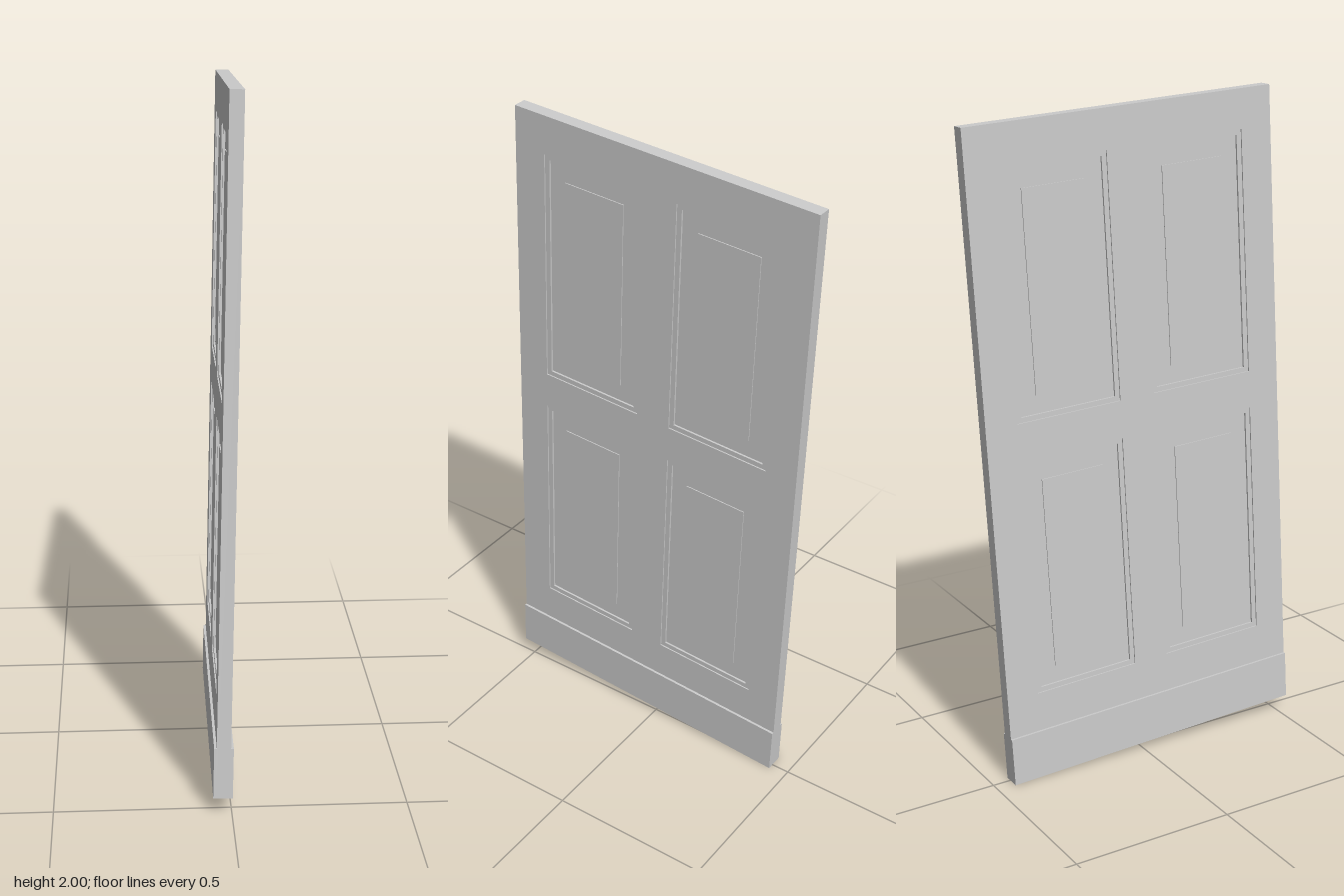
import * as THREE from 'three';

const material = new THREE.MeshStandardMaterial({ color: 0xcccccc, flatShading: true });

// Adds a rectangle to a shape or hole path
function rect(path, x, y, w, h) {
  path.moveTo(x - w / 2, y - h / 2);
  path.lineTo(x + w / 2, y - h / 2);
  path.lineTo(x + w / 2, y + h / 2);
  path.lineTo(x - w / 2, y + h / 2);
  path.closePath();
  return path;
}

// Plate centred on z = 0 with rectangular openings [x, y, w, h]
function plate(name, outline, openings, thickness) {
  const shape = rect(new THREE.Shape(), ...outline);
  for (const o of openings) shape.holes.push(rect(new THREE.Path(), ...o));
  const geometry = new THREE.ExtrudeGeometry(shape, { depth: thickness, bevelEnabled: false });
  geometry.translate(0, 0, -thickness / 2);
  const mesh = new THREE.Mesh(geometry, material);
  mesh.name = name;
  return mesh;
}

export function createModel() {
  const W = 0.978, H = 1.956;
  const door = new THREE.Group();
  door.name = 'door';

  // Stiles and rails around four openings
  const openings = [];
  for (const y of [0.498, -0.343]) {
    for (const side of [1, -1]) openings.push([side * 0.2225, y, 0.333, 0.727]);
  }
  door.add(plate('doorFrame', [0, 0, W, H], openings, 0.04));

  // Each opening: moulding, recessed panel and raised field, alike on both faces
  const bead = 0.015;
  for (const [x, y, w, h] of openings) {
    const panel = new THREE.Group();
    panel.name = 'panel';
    const inner = [x, y, w - 2 * bead, h - 2 * bead];
    panel.add(plate('moulding', [x, y, w, h], [inner], 0.032));
    panel.add(plate('panelBoard', inner, [], 0.02));
    panel.add(plate('raisedField', [x, y, w - 0.134, h - 0.138], [], 0.026));
    door.add(panel);
  }

  // Thicker kick board along the bottom
  door.add(plate('kickBoard', [0, -H / 2 + 0.075, W, 0.15], [], 0.055));

  // The whole leaf leans slightly and stands across the x axis
  const across = new THREE.Vector3(-0.016, 0.045, 0.975).normalize();
  const up = new THREE.Vector3(0.041, 1.95, -0.09).normalize();
  const normal = new THREE.Vector3().crossVectors(across, up).normalize();
  up.crossVectors(normal, across);
  door.quaternion.setFromRotationMatrix(new THREE.Matrix4().makeBasis(across, up, normal));

  const model = new THREE.Group();
  model.name = 'panelDoor';
  model.add(door);

  // Centre and stand on the floor
  model.updateMatrixWorld(true);
  const box = new THREE.Box3().setFromObject(model, true);
  const centre = box.getCenter(new THREE.Vector3());
  door.position.set(-centre.x, -box.min.y, -centre.z);
  return model;
}
